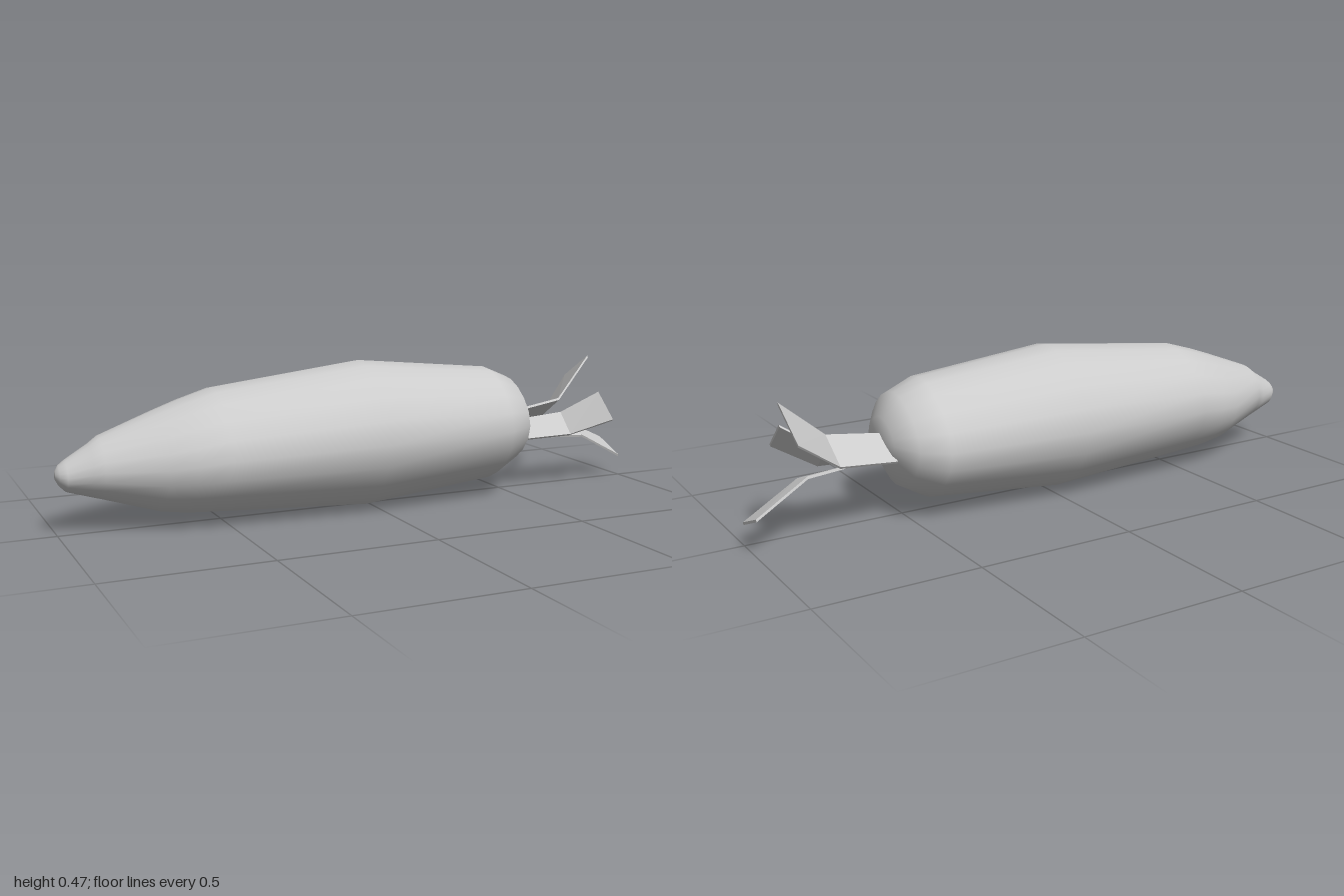
import * as THREE from 'three';

// Skins a row of cross-section loops (running along +x) and closes both ends.
function loft(sections) {
  const n = sections[0].length, last = sections.length - 1;
  const points = sections.flat(), index = [];
  for (let i = 0; i < last; i++) {
    for (let j = 0; j < n; j++) {
      const k = (j + 1) % n;
      const a = i * n + j, b = a + n, c = i * n + k, d = c + n;
      index.push(a, c, b, b, c, d);
    }
  }
  for (const [i, flip] of [[0, true], [last, false]]) {
    const centre = new THREE.Vector3();
    sections[i].forEach((p) => centre.addScaledVector(p, 1 / n));
    const m = points.push(centre) - 1;
    for (let j = 0; j < n; j++) {
      const a = i * n + j, b = i * n + ((j + 1) % n);
      index.push(m, flip ? b : a, flip ? a : b);
    }
  }
  const geometry = new THREE.BufferGeometry().setFromPoints(points);
  geometry.setIndex(index);
  geometry.computeVertexNormals();
  return geometry;
}

// Oval ring, a little pinched towards top and bottom.
function ring([x, top, bottom, halfWidth]) {
  const loop = [];
  for (let j = 0; j < 20; j++) {
    const t = (j / 20) * Math.PI * 2, c = Math.cos(t);
    loop.push(new THREE.Vector3(
      x,
      (top + bottom) / 2 + ((top - bottom) / 2) * c,
      halfWidth * Math.sin(t) * (1 - 0.2 * c * c)
    ));
  }
  return loop;
}

// Thin rectangular section between two edge points [y, z].
function strip([x, p, q]) {
  const a = new THREE.Vector3(x, ...p), b = new THREE.Vector3(x, ...q);
  const n = new THREE.Vector3(1, 0, 0).cross(b.clone().sub(a)).setLength(0.004);
  return [a.clone().sub(n), b.clone().sub(n), b.clone().add(n), a.clone().add(n)];
}

export function createModel() {
  const group = new THREE.Group();

  // Body: x, top y, bottom y, half width
  const profile = [
    [-1.0, 0.198, 0.172, 0.012],
    [-0.99, 0.215, 0.153, 0.032],
    [-0.97, 0.23, 0.133, 0.048],
    [-0.9, 0.272, 0.111, 0.08],
    [-0.87, 0.294, 0.102, 0.094],
    [-0.7, 0.357, 0.048, 0.167],
    [-0.62, 0.385, 0.036, 0.192],
    [-0.52, 0.415, 0.03, 0.214],
    [-0.03, 0.472, 0.002, 0.248],
    [0.43, 0.426, 0.048, 0.209],
    [0.515, 0.39, 0.098, 0.17],
    [0.56, 0.32, 0.18, 0.09],
    [0.566, 0.26, 0.22, 0.025],
  ];
  const body = new THREE.Mesh(
    loft(profile.map(ring)),
    new THREE.MeshStandardMaterial({ color: 0xcccccc })
  );
  body.name = 'body';
  group.add(body);

  // Leaves: x, first edge [y, z], second edge [y, z]
  const leaves = {
    upperLeaf: [
      [0.55, [0.265, 0.004], [0.2, -0.09]],
      [0.74, [0.293, -0.006], [0.222, -0.11]],
      [0.9, [0.427, -0.069], [0.34, -0.208]],
    ],
    lowerLeaf: [
      [0.55, [0.18, 0.032], [0.212, -0.047]],
      [0.82, [0.162, 0.027], [0.193, -0.06]],
      [1.0, [0.071, -0.003], [0.117, -0.12]],
    ],
    frontLeaf: [
      [0.55, [0.232, 0.0], [0.175, 0.06]],
      [0.74, [0.247, 0.005], [0.18, 0.07]],
      [0.85, [0.32, 0.07], [0.237, 0.16]],
    ],
  };
  const leafMaterial = new THREE.MeshStandardMaterial({
    color: 0xcccccc, flatShading: true, side: THREE.DoubleSide,
  });
  for (const [name, sections] of Object.entries(leaves)) {
    const leaf = new THREE.Mesh(loft(sections.map(strip)), leafMaterial);
    leaf.name = name;
    group.add(leaf);
  }
  return group;
}
